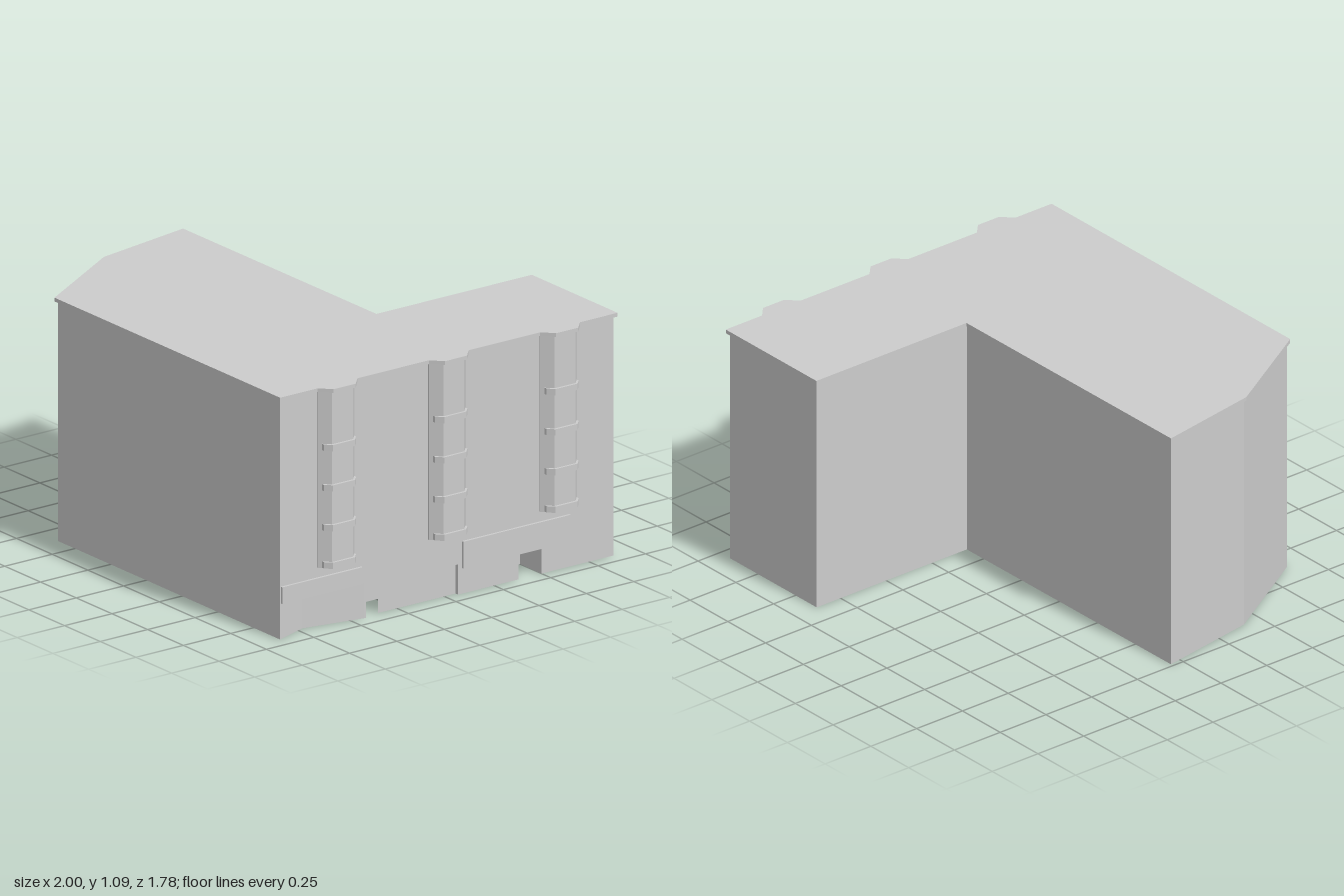
import * as THREE from 'three';

const stone = new THREE.MeshStandardMaterial({ color: 0xcccccc, side: THREE.DoubleSide });
stone.name = 'paleGrey';

const WALL_X = 0.935, EAVES = 1.07;

function add(parent, name, geometry) {
  const mesh = new THREE.Mesh(geometry, stone);
  mesh.name = name;
  parent.add(mesh);
  return mesh;
}

// plan points are [x, z]
const planShape = (pts) => new THREE.Shape(pts.map(([x, z]) => new THREE.Vector2(x, -z)));

// solid prism over a plan outline
function slab(pts, y0, y1) {
  return new THREE.ExtrudeGeometry(planShape(pts), { depth: y1 - y0, bevelEnabled: false })
    .rotateX(-Math.PI / 2).translate(0, y0, 0);
}

// horizontal face over a plan outline
const ceiling = (pts, y) => new THREE.ShapeGeometry(planShape(pts)).rotateX(-Math.PI / 2).translate(0, y, 0);

// vertical faces along a plan path
function wallAlong(pts, y0, y1) {
  const pos = [];
  for (let i = 0; i + 1 < pts.length; i++) {
    const [ax, az] = pts[i], [bx, bz] = pts[i + 1];
    pos.push(ax, y0, az, bx, y0, bz, bx, y1, bz, ax, y0, az, bx, y1, bz, ax, y1, az);
  }
  const g = new THREE.BufferGeometry();
  g.setAttribute('position', new THREE.Float32BufferAttribute(pos, 3));
  g.computeVertexNormals();
  return g;
}

// bay plan: flat face with two slanted cheeks
const bayPlan = (z, base, flat, x0, x1, face) => [
  [x0, z + base], [x1, z + base], [face, z + flat],
  [face, z - flat], [x1, z - base], [x0, z - base],
];

export function createModel() {
  const group = new THREE.Group();
  group.name = 'cornerBuilding';

  // outer walls, open below
  add(group, 'outerWalls', wallAlong([
    [WALL_X, -0.88], [0.36, -0.88], [0.36, -0.06], [-0.985, -0.055],
    [-0.905, 0.41], [-0.62, 0.88], [WALL_X, 0.88],
  ], 0, EAVES));

  // street wall with ground floor openings, as [z, y]
  const street = [
    [-0.88, 0], [-0.5, 0], [-0.5, 0.115], [-0.38, 0.115], [-0.38, 0],
    [-0.06, 0], [-0.06, 0.135], [0.425, 0.135], [0.425, 0], [0.435, 0],
    [0.435, 0.16], [0.88, 0.16], [0.88, EAVES], [-0.88, EAVES],
  ].map(([z, y]) => new THREE.Vector2(-z, y));
  add(group, 'streetWall', new THREE.ShapeGeometry(new THREE.Shape(street))
    .rotateY(Math.PI / 2).translate(WALL_X, 0, 0));

  // recessed shopfronts: concave corner, middle front with lobby, far doorway
  const fronts = [
    ['cornerShopfront', 0.16, [[WALL_X, 0.88], [0.88, 0.72], [WALL_X, 0.435]]],
    ['middleShopfront', 0.135, [[WALL_X, 0.425], [0.775, 0.54], [0.775, 0.24],
      [0.918, 0.35], [0.918, -0.06], [WALL_X, -0.06]]],
    ['farDoorway', 0.115, [[WALL_X, -0.38], [0.785, -0.38], [0.785, -0.5], [WALL_X, -0.5]]],
  ];
  for (const [name, top, path] of fronts) {
    add(group, name, wallAlong(path, 0, top));
    add(group, name + 'Soffit', ceiling(path, top));
  }

  // lintel over the lobby door
  add(group, 'doorLintel', wallAlong([[0.918, 0.425], [0.918, 0.35]], 0.125, 0.135));

  // sign boards
  for (const [z0, z1, y0, y1] of [[0.45, 0.875, 0.16, 0.235], [-0.645, -0.08, 0.115, 0.235]]) {
    const board = add(group, 'signBoard', new THREE.BoxGeometry(0.012, y1 - y0, z1 - z0));
    board.position.set(WALL_X + 0.005, (y0 + y1) / 2, (z0 + z1) / 2);
  }

  // bay columns with string bands
  const bays = [0.587, 0, -0.587];
  for (const z of bays) {
    const bay = new THREE.Group();
    bay.name = 'bayColumn';
    add(bay, 'bayShaft', slab(bayPlan(z, 0.098, 0.055, 0.93, 0.94, 0.985), 0.28, EAVES));
    for (const y of [0.282, 0.45, 0.628, 0.808]) {
      add(bay, 'bayBand', slab(bayPlan(z, 0.085, 0.058, 0.945, 0.967, 0.996), y, y + 0.028));
    }
    group.add(bay);
  }

  // overhanging roof that follows the bays
  const roof = [[-1, -0.067], [0.35, -0.07], [0.35, -0.89], [0.95, -0.89]];
  for (const z of [...bays].reverse()) {
    roof.push([0.95, z - 0.105], [1, z - 0.058], [1, z + 0.058], [0.95, z + 0.105]);
  }
  roof.push([0.95, 0.89], [-0.63, 0.89], [-0.915, 0.415]);
  add(group, 'roofSlab', slab(roof, EAVES, 1.087));

  return group;
}
